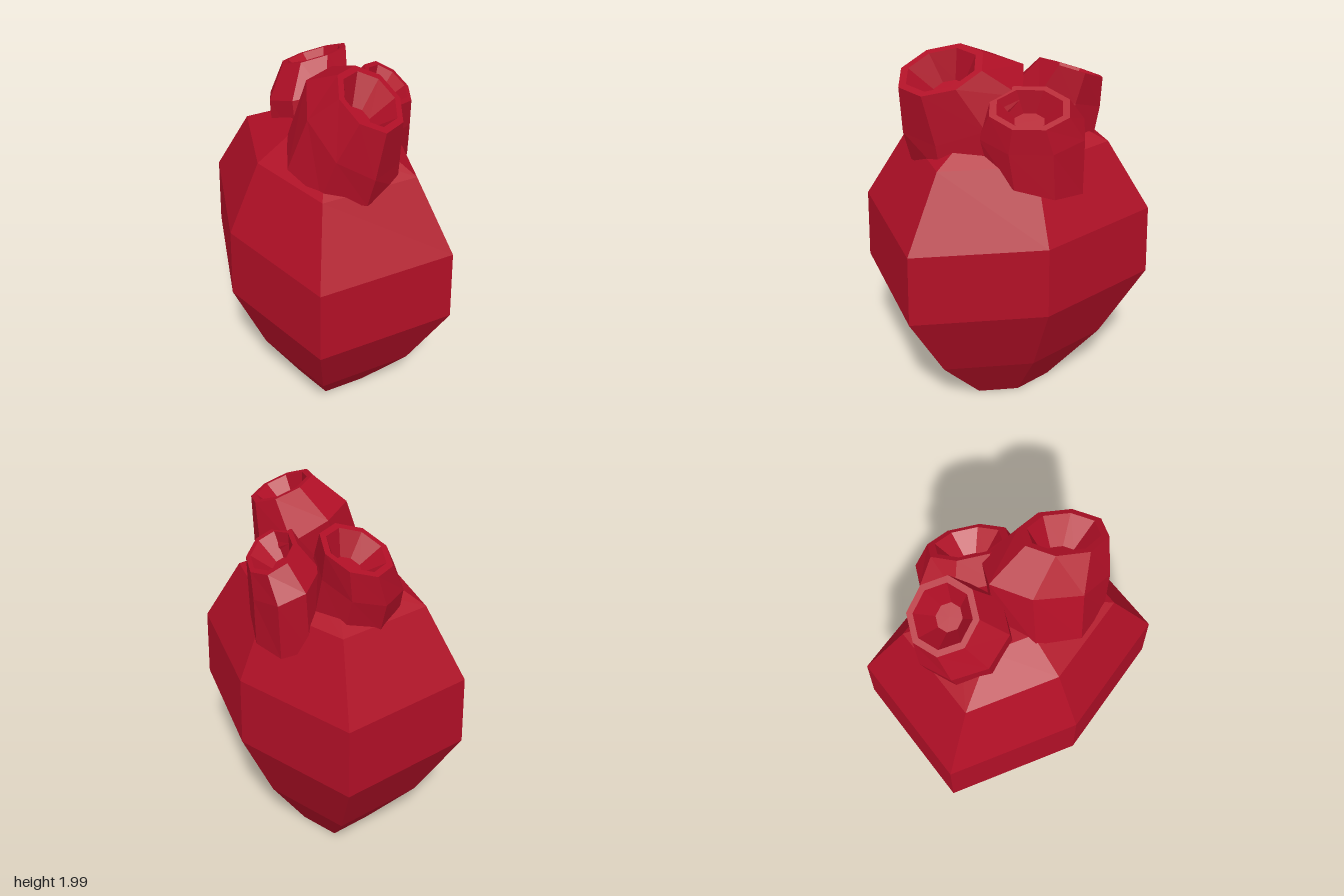
import * as THREE from 'three';

// Skin closed rings of points (listed bottom to top) with faceted quads and end caps
function loft(rings) {
  const pos = [];
  const tri = (...pts) => pts.forEach((p) => pos.push(p.x, p.y, p.z));
  const n = rings[0].length;
  const middle = (ring) =>
    ring.reduce((s, p) => s.add(p), new THREE.Vector3()).divideScalar(n);
  for (let k = 0; k < rings.length - 1; k++) {
    for (let i = 0; i < n; i++) {
      const j = (i + 1) % n;
      const a = rings[k][i], b = rings[k][j], c = rings[k + 1][j], d = rings[k + 1][i];
      tri(a, d, c);
      tri(a, c, b);
    }
  }
  const first = rings[0], last = rings[rings.length - 1];
  const c0 = middle(first), c1 = middle(last);
  for (let i = 0; i < n; i++) {
    const j = (i + 1) % n;
    tri(c0, first[i], first[j]);
    tri(c1, last[j], last[i]);
  }
  const geo = new THREE.BufferGeometry();
  geo.setAttribute('position', new THREE.Float32BufferAttribute(pos, 3));
  geo.computeVertexNormals();
  return geo;
}

// Eight-sided ring about c, radii rx and rz seen from above, sloping down by sx and sz
function tiltedRing([x, y, z], rx, rz, sx, sz) {
  return Array.from({ length: 8 }, (_, i) => {
    const t = ((i + 0.5) / 8) * Math.PI * 2;
    const dx = rx * Math.cos(t), dz = rz * Math.sin(t);
    return new THREE.Vector3(x + dx, y - sx * dx - sz * dz, z + dz);
  });
}

// Hollow vessel: base, waist and rim rings, then a narrow lip and a recessed floor
function vesselGeometry({ base, waist, rim, depth }) {
  const [c, rx, rz, sx, sz] = rim;
  const sunk = [c[0] - sx * depth, c[1] - depth, c[2] - sz * depth];
  return loft([
    tiltedRing(...base),
    tiltedRing(...waist),
    tiltedRing(...rim),
    tiltedRing(c, rx * 0.82, rz * 0.82, sx, sz),
    tiltedRing(sunk, rx * 0.38, rz * 0.38, sx, sz),
  ]);
}

export function createModel() {
  const group = new THREE.Group();
  const red = new THREE.MeshStandardMaterial({ color: 0xb00f26, flatShading: true });
  red.name = 'deep red';
  const add = (name, geometry) => {
    const mesh = new THREE.Mesh(geometry, red);
    mesh.name = name;
    group.add(mesh);
  };

  // Body: one skewed hexagon scaled up the height
  const hexagon = [[0.06, -0.75], [0.505, -0.23], [0.605, 0.45],
    [-0.06, 0.75], [-0.505, 0.23], [-0.605, -0.45]];
  const levels = [[0, 0.32], [0.33, 0.69], [0.75, 1], [1.13, 0.978], [1.495, 0.68], [1.63, 0.32]];
  add('heartBody', loft(levels.map(([y, s]) =>
    hexagon.map(([x, z]) => new THREE.Vector3(x * s, y, z * s)))));

  // Vessels: each ring is centre, x radius, z radius, x slope, z slope
  add('frontVessel', vesselGeometry({
    base: [[0.06, 1.52, 0.19], 0.28, 0.29, 0.2, 0.22],
    waist: [[0.11, 1.74, 0.2], 0.23, 0.31, 0.55, 0.33],
    rim: [[0.18, 1.91, 0.295], 0.155, 0.21, 0.42, 0.22],
    depth: 0.12,
  }));
  add('backVessel', vesselGeometry({
    base: [[-0.07, 1.5, -0.22], 0.22, 0.23, -0.1, -0.1],
    waist: [[-0.09, 1.69, -0.25], 0.21, 0.23, -0.25, -0.25],
    rim: [[-0.06, 1.84, -0.315], 0.17, 0.165, -0.3, -0.3],
    depth: 0.1,
  }));
  add('sideVessel', vesselGeometry({
    base: [[0.24, 1.41, -0.15], 0.18, 0.25, 0.2, -0.25],
    waist: [[0.25, 1.65, -0.13], 0.17, 0.27, 0.4, 0],
    rim: [[0.3, 1.775, -0.12], 0.12, 0.2, 0.55, 0],
    depth: 0.09,
  }));

  return group;
}
